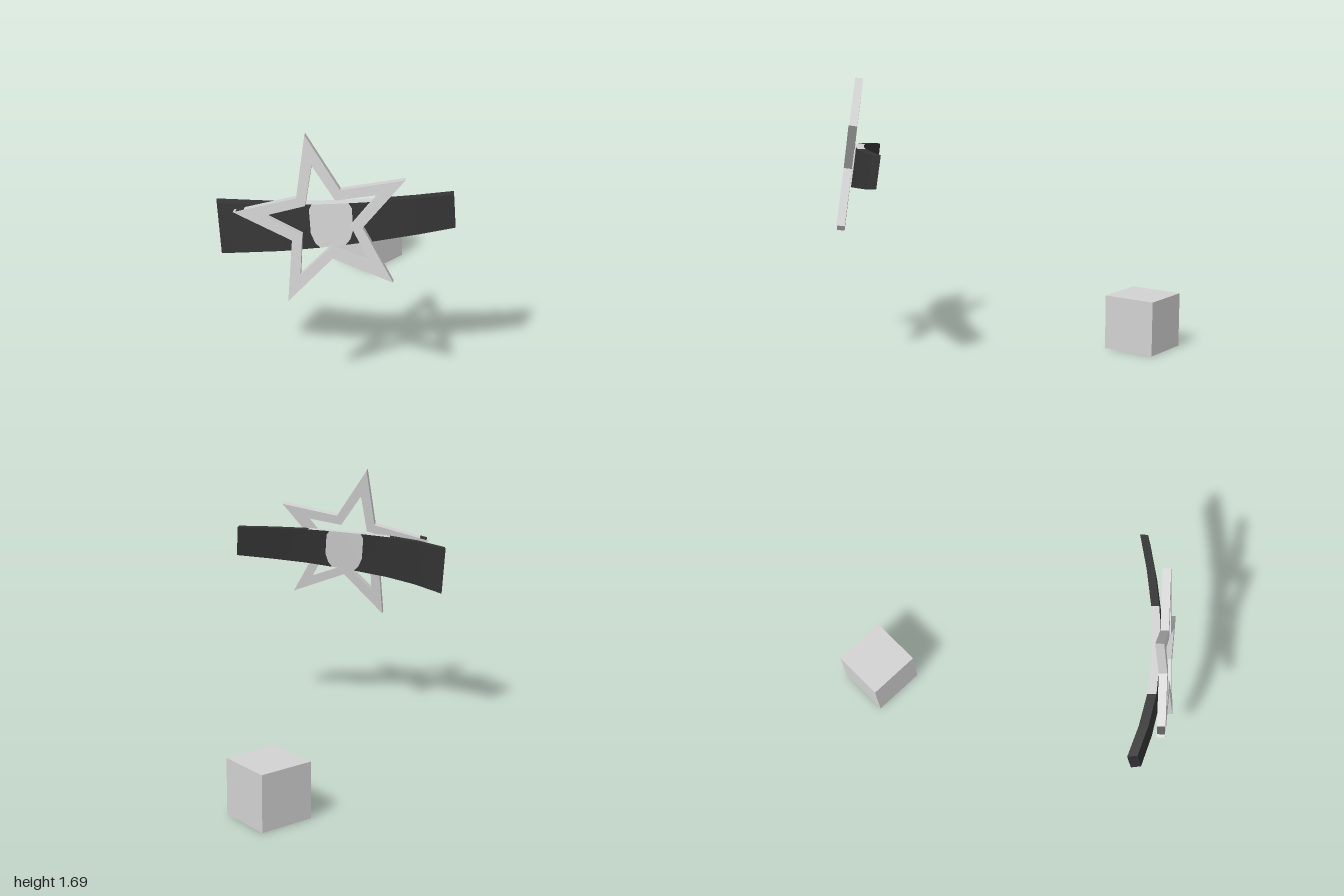
import * as THREE from 'three';
import { toCreasedNormals } from 'three/addons/utils/BufferGeometryUtils.js';

const silver = new THREE.MeshStandardMaterial({ color: 0xd2d2d2 });
silver.name = 'silver';
const black = new THREE.MeshStandardMaterial({ color: 0x343434 });
black.name = 'black';

function addMesh(group, name, geometry, material) {
  const mesh = new THREE.Mesh(geometry, material);
  mesh.name = name;
  group.add(mesh);
  return mesh;
}

// Five-pointed outline, counter-clockwise, with tips at radius R and notches at radius r
function starPoints(R, r) {
  return Array.from({ length: 10 }, (_, i) => {
    const a = (i * Math.PI) / 5, d = i % 2 ? r : R;
    return new THREE.Vector2(-Math.sin(a) * d, Math.cos(a) * d);
  });
}

// Hollow star, leaning and turned to lie against the band
function buildStar() {
  const star = new THREE.Group();
  star.name = 'starOrnament';
  const outline = starPoints(0.522, 0.215);
  const shape = new THREE.Shape(outline);
  shape.holes.push(new THREE.Path(starPoints(0.345, 0.148)));
  const depth = 0.05;
  const geo = new THREE.ExtrudeGeometry(shape, { depth, bevelEnabled: false });
  geo.translate(0, 0, -depth / 2);
  addMesh(star, 'star', geo, silver);

  // Small dark mark on the upper edge of the side tip
  const [, notch, tip] = outline;
  const mark = addMesh(star, 'tipMark', new THREE.BoxGeometry(0.045, 0.006, 0.046), black);
  const spot = tip.clone().lerp(notch, 0.11);
  mark.position.set(spot.x, spot.y, 0);
  mark.rotation.z = Math.atan2(notch.y - tip.y, notch.x - tip.x);

  const up = new THREE.Vector3(-0.25, 0.967, 0.042).normalize();
  const normal = new THREE.Vector3(0.721, 0.217, -0.658).cross(up).normalize();
  const side = up.clone().cross(normal);
  star.applyMatrix4(new THREE.Matrix4().makeBasis(side, up, normal).setPosition(0.388, 1.182, 0.652));
  return star;
}

// Curved, tapering band swept from four-cornered sections
function buildBand() {
  const band = new THREE.Group();
  band.name = 'curvedBand';
  const V = (x, y, z) => new THREE.Vector3(x, y, z);
  const curve = new THREE.CatmullRomCurve3([
    V(-0.228, 1.215, 0.926), V(-0.05, 1.24, 0.847), V(0.12, 1.256, 0.75), V(0.335, 1.273, 0.575),
    V(0.53, 1.288, 0.386), V(0.69, 1.297, 0.19), V(0.804, 1.303, 0.032),
  ]);
  const thickness = new THREE.CatmullRomCurve3([V(0.048, 0, 0.038), V(0.033, 0, 0.038), V(0.033, 0, 0.035)]);

  // Corners in order: top back, top front, bottom front, bottom back
  const section = (t) => {
    const topBack = curve.getPointAt(t);
    const topFront = topBack.clone().add(thickness.getPoint(t));
    const down = V(0.042, -0.305, 0.014).lerp(V(0.03, -0.195, 0.012), t);
    return [topBack, topFront, topFront.clone().add(down), topBack.clone().add(down)];
  };
  // Stops along the band; the inset narrows the patch
  const stops = (inset) => [0, 0.14, 0.28, 0.405 + inset, 0.49, 0.58 - inset, 0.67, 0.84, 1];

  const dark = [], light = [];
  const quad = (list, a, b, c, d) => [a, b, c, a, c, d].forEach((p) => list.push(p));
  // Fills between two rows of points, pale from column `first` to column `last`
  const strip = (upper, lower, first, last) => {
    for (let s = 0; s < upper.length - 1; s++) {
      const list = s >= first && s <= last ? light : dark;
      quad(list, upper[s], lower[s], lower[s + 1], upper[s + 1]);
    }
  };

  // Top with its wide patch, and the plain underside
  const plain = stops(0).map(section);
  const edge = (i) => plain.map((p) => p[i]);
  strip(edge(0), edge(1), 2, 5);
  strip(edge(2), edge(3), 1, 0);

  // Front and back in rows, so the patch has rounded corners
  const rows = [[0, 0.012], [0.12, 0], [0.65, 0], [0.88, 0.015], [1, 0.035]];
  const line = ([v, inset], top, bottom) =>
    stops(inset).map((t) => {
      const p = section(t);
      return p[top].clone().lerp(p[bottom], v);
    });
  for (let k = 0; k < rows.length - 1; k++) {
    strip(line(rows[k], 1, 2), line(rows[k + 1], 1, 2), 3, 4);
    strip(line(rows[k + 1], 0, 3), line(rows[k], 0, 3), 3, 4);
  }

  // End caps
  const [a, b, c, d] = plain[0];
  quad(dark, a, d, c, b);
  quad(dark, ...plain[plain.length - 1]);

  const toGeometry = (pts) => toCreasedNormals(new THREE.BufferGeometry().setFromPoints(pts), 0.6);
  addMesh(band, 'band', toGeometry(dark), black);
  addMesh(band, 'bandPatch', toGeometry(light), silver);
  return band;
}

export function createModel() {
  const group = new THREE.Group();
  group.name = 'starBandAndCube';
  group.add(buildStar(), buildBand());
  // Separate cube standing on the ground
  addMesh(group, 'cube', new THREE.BoxGeometry(0.337, 0.34, 0.337), silver).position.set(-0.699, 0.17, -0.831);
  return group;
}
